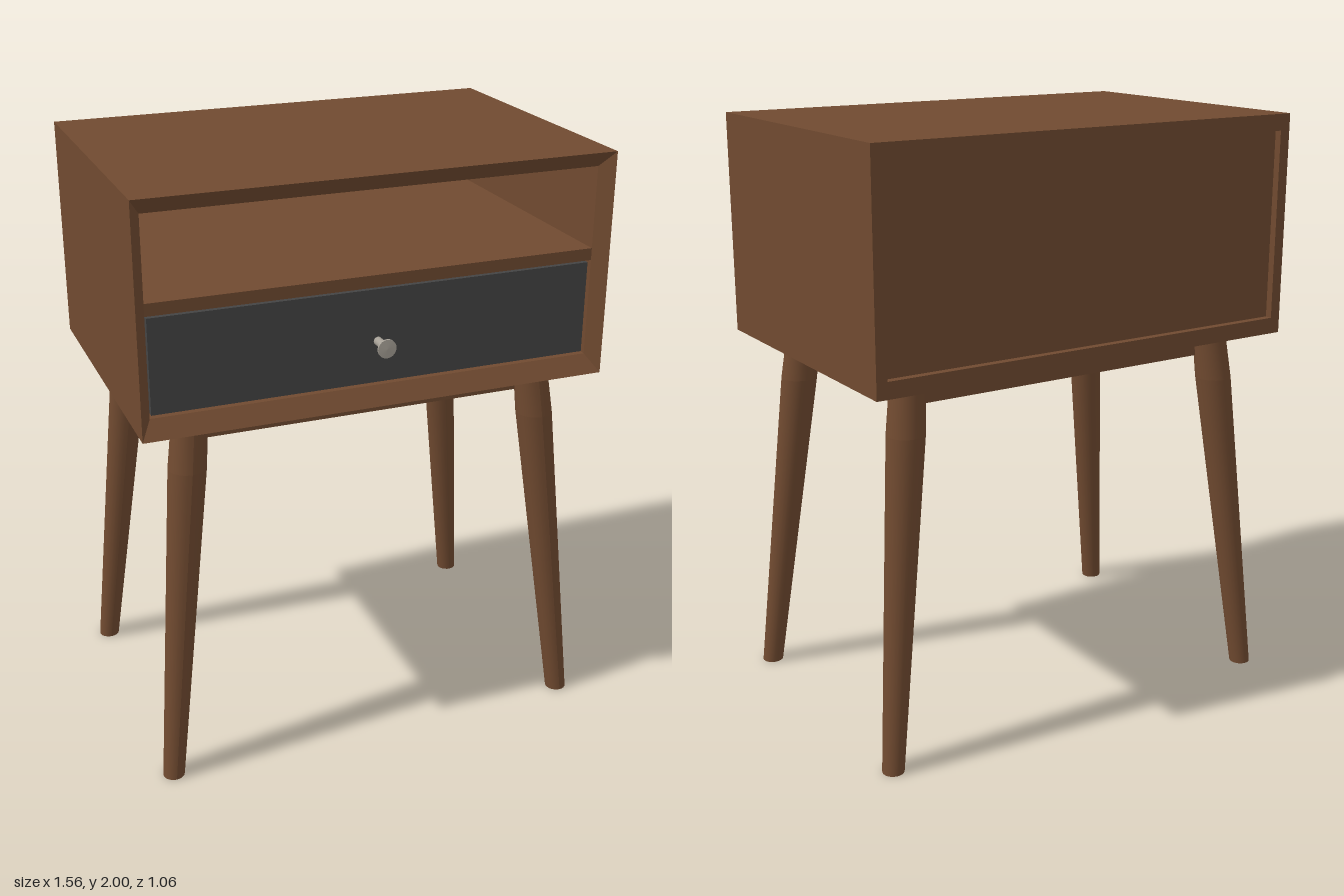
import * as THREE from 'three';

const wood = new THREE.MeshStandardMaterial({ color: 0x704a30 });
wood.name = 'walnut wood';
const charcoal = new THREE.MeshStandardMaterial({ color: 0x444444 });
charcoal.name = 'charcoal drawer';
const metal = new THREE.MeshStandardMaterial({ color: 0xa8a298 });
metal.name = 'knob metal';

// Box given by its min and max on every axis
function box(name, material, [x0, x1], [y0, y1], [z0, z1]) {
  const mesh = new THREE.Mesh(new THREE.BoxGeometry(x1 - x0, y1 - y0, z1 - z0), material);
  mesh.name = name;
  mesh.position.set((x0 + x1) / 2, (y0 + y1) / 2, (z0 + z1) / 2);
  return mesh;
}

// Closed sleeve through rectangular rings [halfWidth, bottom, top, z]
function rectSleeve(rings) {
  const corners = rings.map(([w, b, t, z]) => [[-w, b, z], [w, b, z], [w, t, z], [-w, t, z]]);
  const pos = [];
  corners.forEach((ring, i) => {
    const next = corners[(i + 1) % corners.length];
    for (let k = 0; k < 4; k++) {
      const a = ring[k], b = ring[(k + 1) % 4], c = next[(k + 1) % 4], d = next[k];
      pos.push(...a, ...c, ...b, ...a, ...d, ...c);
    }
  });
  const geo = new THREE.BufferGeometry();
  geo.setAttribute('position', new THREE.Float32BufferAttribute(pos, 3));
  geo.computeVertexNormals();
  return geo;
}

// Round tapered leg, sheared so that it splays outwards and stands flat
function leg(name, sx, topZ, footZ) {
  const top = 1.255;
  const profile = [[0, 0], [0.036, 0], [0.036, 0], [0.062, 1.09], [0.062, 1.09], [0.057, top], [0.057, top], [0, top]]
    .map(([r, y]) => new THREE.Vector2(r, y));
  const geo = new THREE.LatheGeometry(profile, 24);
  const p = geo.attributes.position;
  for (let i = 0; i < p.count; i++) {
    const t = p.getY(i) / top;
    p.setX(i, p.getX(i) + sx * THREE.MathUtils.lerp(0.727, 0.595, t));
    p.setZ(i, p.getZ(i) + THREE.MathUtils.lerp(footZ, topZ, t));
  }
  geo.computeVertexNormals();
  const mesh = new THREE.Mesh(geo, wood);
  mesh.name = name;
  return mesh;
}

export function createModel() {
  const group = new THREE.Group();
  group.name = 'nightstand';

  // Cabinet shell with a bevelled front rim and an open back
  const shell = new THREE.Mesh(rectSleeve([
    [0.78, 1.255, 2, 0.508],
    [0.743, 1.31, 1.945, 0.46],
    [0.743, 1.31, 1.945, -0.53],
    [0.78, 1.255, 2, -0.53],
  ].reverse()), wood);
  shell.name = 'cabinetShell';
  group.add(shell);

  // Recessed back panel and the shelf over the drawer
  group.add(box('backPanel', wood, [-0.743, 0.743], [1.31, 1.945], [-0.505, -0.48]));
  group.add(box('shelf', wood, [-0.743, 0.743], [1.635, 1.675], [-0.48, 0.46]));

  // Drawer with a thin gap around it
  group.add(box('drawer', charcoal, [-0.736, 0.736], [1.316, 1.626], [-0.44, 0.452]));

  // Flared knob
  const knobProfile = [[0, 0], [0.014, 0], [0.014, 0.045], [0.014, 0.045], [0.031, 0.07],
    [0.031, 0.07], [0.031, 0.076], [0.031, 0.076], [0, 0.078]].map(([r, y]) => new THREE.Vector2(r, y));
  const knob = new THREE.Mesh(new THREE.LatheGeometry(knobProfile, 20), metal);
  knob.name = 'knob';
  knob.rotation.x = Math.PI / 2;
  knob.position.set(0, 1.455, 0.452);
  group.add(knob);

  // Base block between the legs
  group.add(box('apron', wood, [-0.59, 0.59], [1.17, 1.255], [-0.37, 0.357]));

  // Four splayed legs
  for (const [side, sx] of [['Left', 1], ['Right', -1]]) {
    group.add(leg('front' + side + 'Leg', sx, 0.367, 0.465));
    group.add(leg('back' + side + 'Leg', sx, -0.38, -0.475));
  }
  return group;
}
